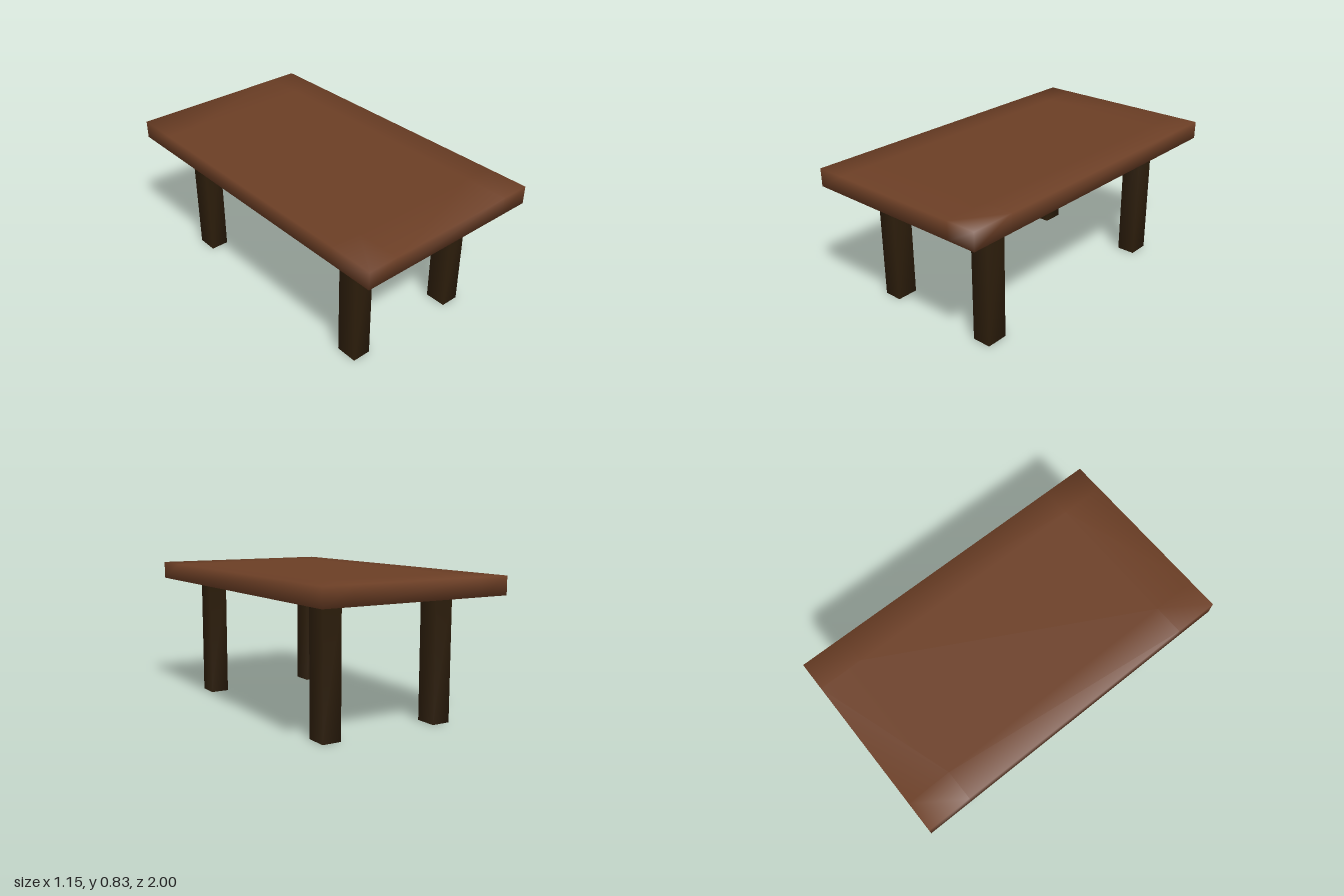
import * as THREE from 'three';
import { mergeVertices } from 'three/addons/utils/BufferGeometryUtils.js';

// Shares the corners of a box so its shading rolls softly over the edges.
function soften(geometry) {
  geometry.deleteAttribute('normal');
  geometry.deleteAttribute('uv');
  const merged = mergeVertices(geometry);
  merged.computeVertexNormals();
  return merged;
}

export function createModel() {
  const topWood = new THREE.MeshStandardMaterial({ name: 'warm brown wood', color: 0x6b3e25 });
  const legWood = new THREE.MeshStandardMaterial({ name: 'dark brown wood', color: 0x2c1d0b });

  const table = new THREE.Group();
  table.name = 'table';

  // Tabletop: a slab with an inset border loop, softly shaded.
  const slab = new THREE.BoxGeometry(1.15, 0.105, 2, 3, 1, 3);
  const p = slab.attributes.position;
  for (let i = 0; i < p.count; i++) {
    const x = p.getX(i), z = p.getZ(i);
    if (Math.abs(x) < 0.5) p.setX(i, Math.sign(x) * 0.4);
    if (Math.abs(z) < 0.9) p.setZ(i, Math.sign(z) * 0.74);
  }
  const tabletop = new THREE.Mesh(soften(slab), topWood);
  tabletop.name = 'tabletop';
  tabletop.position.y = 0.7825;
  table.add(tabletop);

  // Four square legs, each with a thin dark patch where it meets the top.
  const legGeometry = soften(new THREE.BoxGeometry(0.112, 0.73, 0.13));
  const patchGeometry = new THREE.CylinderGeometry(0.13, 0.13, 0.006, 8);
  for (const sx of [-1, 1]) {
    for (const sz of [-1, 1]) {
      const corner = new THREE.Group();
      corner.name = (sz > 0 ? 'front' : 'back') + (sx > 0 ? 'Left' : 'Right') + 'Leg';
      corner.position.set(sx * 0.36, 0, sz * 0.685);

      const leg = new THREE.Mesh(legGeometry, legWood);
      leg.name = 'leg';
      leg.position.y = 0.365;

      const patch = new THREE.Mesh(patchGeometry, legWood);
      patch.name = 'legPatch';
      patch.position.y = 0.728;
      patch.rotation.y = Math.PI / 8;

      corner.add(leg, patch);
      table.add(corner);
    }
  }
  return table;
}
